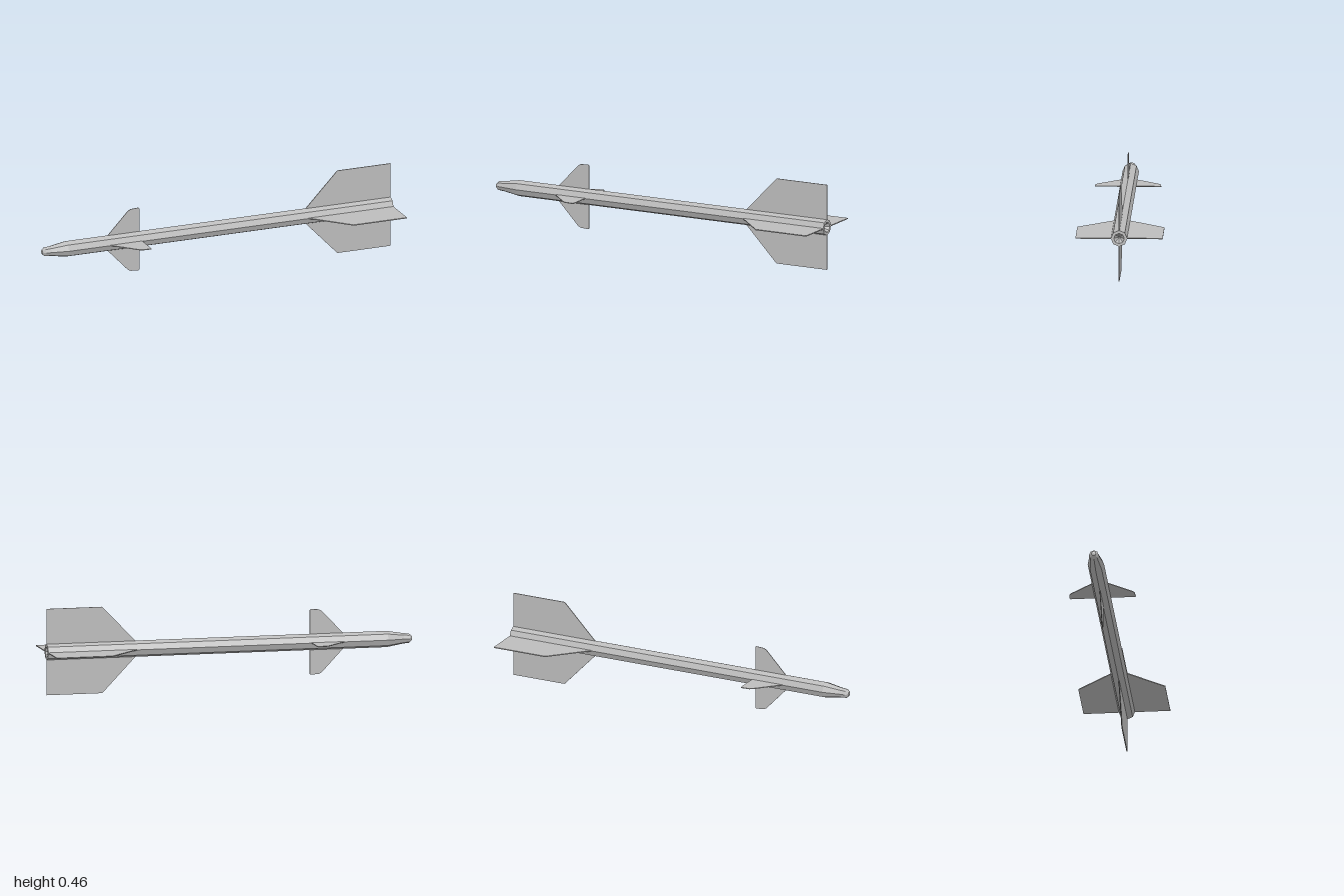
import * as THREE from 'three';

const AXIS_Y = 0.2315; // height of the body's centre line

export function createModel() {
  const model = new THREE.Group();
  model.name = 'finnedRocket';
  const grey = new THREE.MeshStandardMaterial({ color: 0xbcbcbc, flatShading: true });
  grey.name = 'light grey';

  const assembly = new THREE.Group();
  assembly.name = 'rocket';
  assembly.position.y = AXIS_Y;
  model.add(assembly);

  // Octagonal part turned around the x axis, from [x, radius] pairs
  const turned = (name, profile) => {
    const geometry = new THREE.LatheGeometry(profile.map(([x, r]) => new THREE.Vector2(r, x)), 8);
    geometry.rotateZ(-Math.PI / 2);
    const mesh = new THREE.Mesh(geometry, grey);
    mesh.name = name;
    assembly.add(mesh);
  };

  turned('nose', [[-1, 0], [-0.997, 0.012], [-0.982, 0.025], [-0.95, 0.028], [-0.86, 0.0435]]);
  turned('body', [[-0.86, 0.0435], [1, 0.0435]]);
  // Flat rear ring with a hollow conical nozzle
  turned('nozzle', [[1, 0.0435], [1, 0.028], [0.96, 0]]);

  // Four matching thin fins around the body, from an [x, radius] outline
  const finSet = (name, outline, thickness) => {
    const shape = new THREE.Shape(outline.map(([x, r]) => new THREE.Vector2(x, r)));
    const geometry = new THREE.ExtrudeGeometry(shape, { depth: thickness, bevelEnabled: false });
    geometry.translate(0, 0, -thickness / 2);
    for (let i = 0; i < 4; i++) {
      const fin = new THREE.Mesh(geometry, grey);
      fin.name = name + (i + 1);
      fin.rotation.x = (i * Math.PI) / 2;
      assembly.add(fin);
    }
  };

  finSet('frontFin', [
    [-0.635, 0.028], [-0.44, 0.028], [-0.44, 0.172], [-0.445, 0.176], [-0.49, 0.173], [-0.505, 0.165],
  ], 0.004);
  finSet('tailFin', [[0.5, 0.028], [1, 0.028], [1, 0.2315], [0.695, 0.2315]], 0.005);

  return model;
}
